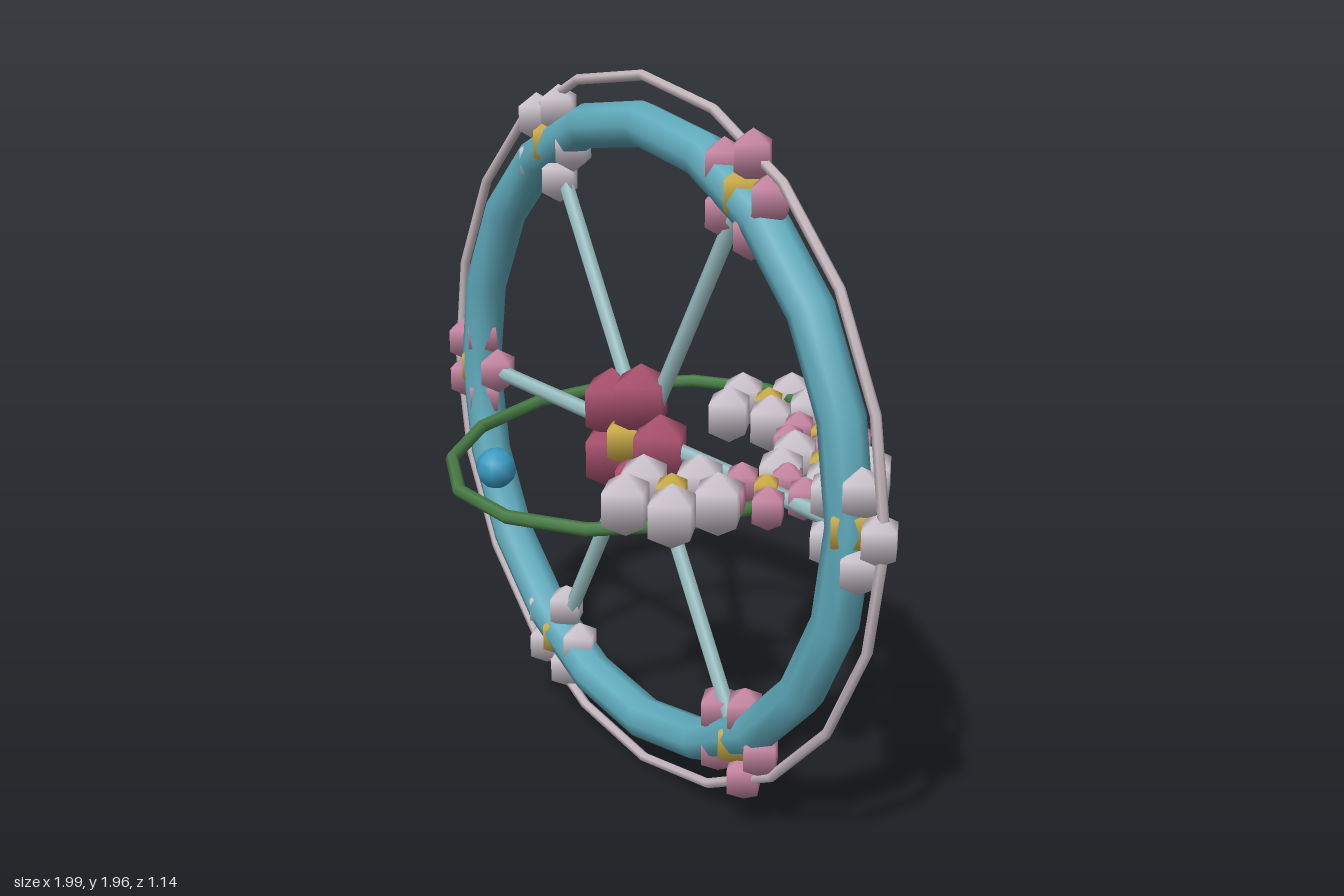
import * as THREE from 'three';

const mat = (name, color) => Object.assign(new THREE.MeshStandardMaterial({ color }), { name });

export function createModel() {
  const teal = mat('teal', 0x60abbd);
  const paleTeal = mat('pale teal', 0x9cc2c6);
  const silver = mat('silver mauve', 0xc6b9c0);
  const white = mat('petal white', 0xd2c9d2);
  const pink = mat('petal pink', 0xcb8aa6);
  const crimson = mat('crimson', 0xac5270);
  const gold = mat('gold', 0xd0b04c);
  const green = mat('vine green', 0x4a7d48);
  const blue = mat('bead blue', 0x3a9ac2);

  const model = new THREE.Group();
  const cx = -0.01, cy = 0.98, cz = 0.032;

  const add = (parent, name, geometry, material, x = 0, y = 0, z = 0) => {
    const mesh = new THREE.Mesh(geometry, material);
    mesh.name = name;
    mesh.position.set(x, y, z);
    parent.add(mesh);
    return mesh;
  };

  // Five faceted petals around a gold heart, either upright or lying flat
  const flower = (name, material, { petal, spread, heart, heartY = 0, heartZ = 0, flat = false }) => {
    const group = new THREE.Group();
    group.name = name;
    const petalGeometry = new THREE.SphereGeometry(petal, 4, 3);
    for (let i = 0; i < 5; i++) {
      const a = (i / 5) * Math.PI * 2 + (flat ? Math.PI : 0);
      const u = Math.cos(a) * spread, v = Math.sin(a) * spread;
      add(group, 'petal', petalGeometry, material, u, flat ? 0 : v, flat ? v : 0);
    }
    add(group, 'flowerHeart', new THREE.SphereGeometry(heart, 4, 3), gold, 0, heartY, heartZ);
    model.add(group);
    return group;
  };

  // Wheel rim and thin outer hoop
  add(model, 'rim', new THREE.TorusGeometry(0.84, 0.06, 8, 20), teal, cx, cy, cz);
  add(model, 'outerHoop', new THREE.TorusGeometry(0.964, 0.014, 6, 20), silver, cx, cy, cz);

  // Spokes, each with a flower where it meets the rim
  const spokeGeometry = new THREE.CylinderGeometry(0.022, 0.022, 0.84, 6).translate(0, 0.42, 0);
  for (let i = 0; i < 6; i++) {
    const a = (i * Math.PI) / 3;
    add(model, 'spoke', spokeGeometry, paleTeal, cx, cy, cz).rotation.z = a - Math.PI / 2;
    flower('rimFlower', i % 2 ? pink : white, { petal: 0.067, spread: 0.1, heart: 0.074 })
      .position.set(cx + Math.cos(a) * 0.845, cy + Math.sin(a) * 0.845, cz);
  }

  // Large flower on the hub
  flower('hubFlower', crimson, { petal: 0.1, spread: 0.123, heart: 0.075, heartZ: 0.02 })
    .position.set(cx, cy, 0.066);

  // Tilted vine hoop through the wheel
  add(model, 'vineHoop', new THREE.TorusGeometry(0.525, 0.018, 6, 14), green, cx, 0.942, 0.028)
    .rotation.x = Math.PI / 2 + 0.09;

  // Garland of flat flowers along one side of the vine: x, y, z
  const garland = [
    [-0.01, 0.97, -0.4], [0.29, 0.975, -0.34], [0.5, 0.98, -0.17],
    [0.55, 0.985, 0.06], [0.45, 0.99, 0.275],
  ];
  garland.forEach((p, i) => {
    const size = i % 2
      ? { petal: 0.058, spread: 0.096, heart: 0.044 }
      : { petal: 0.083, spread: 0.118, heart: 0.056 };
    flower('garlandFlower', i % 2 ? pink : white, { ...size, heartY: 0.012, flat: true })
      .position.set(...p);
  });

  // Bead floating in front of the hub
  add(model, 'bead', new THREE.SphereGeometry(0.053, 8, 6), blue, cx, cy + 0.004, 0.495);

  return model;
}
